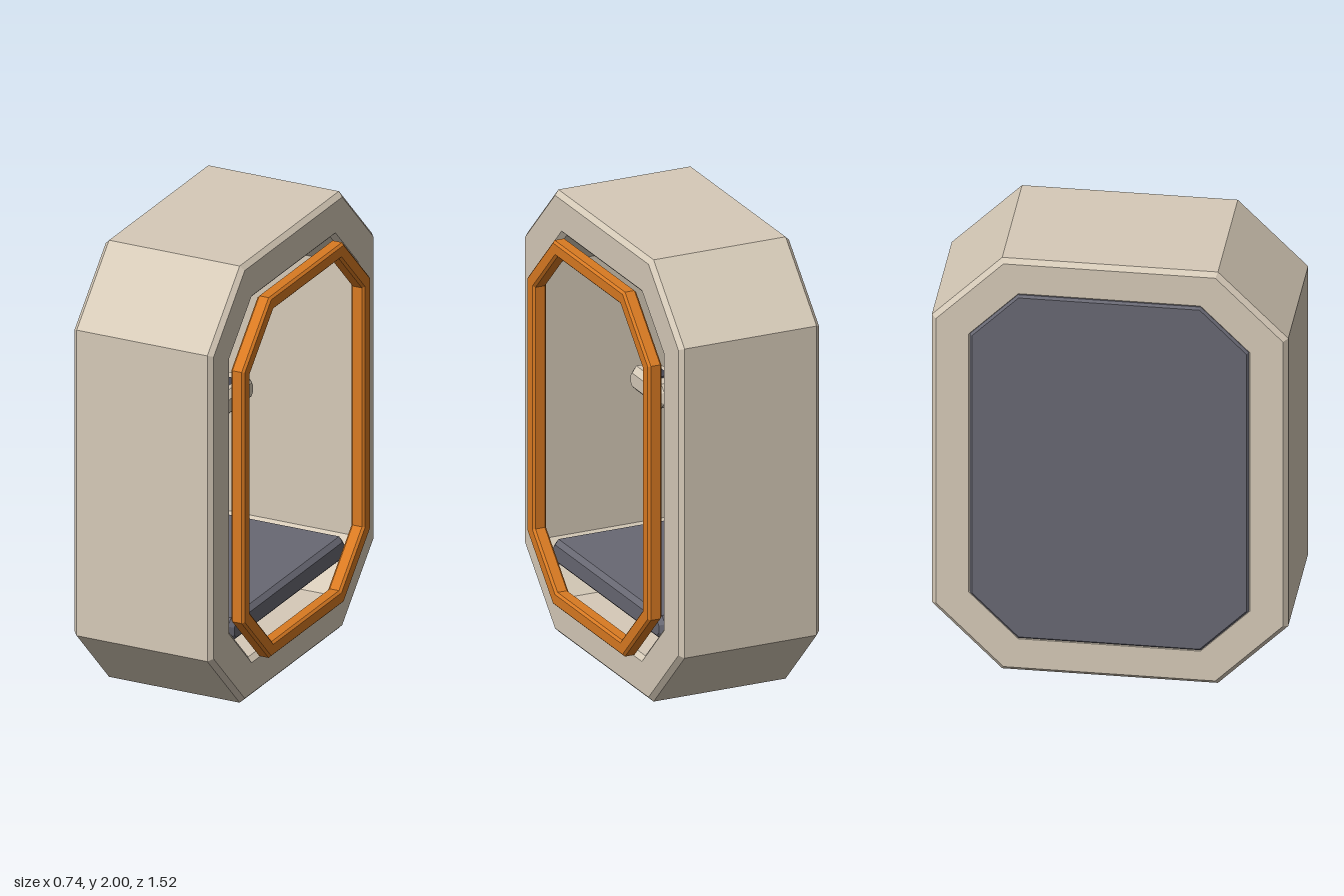
import * as THREE from 'three';

const mat = (name, color) => {
  const m = new THREE.MeshStandardMaterial({ color });
  m.name = name;
  return m;
};

// Upright octagon outline: half width w, half height h, corner cut c, centred at y = 1
function octagon(w, h, c, Type = THREE.Shape) {
  return new Type([
    [w, c - h], [w, h - c], [w - c, h], [c - w, h],
    [-w, h - c], [-w, c - h], [c - w, -h], [w - c, -h],
  ].map(([u, v]) => new THREE.Vector2(u, v + 1)));
}

// Extrude a side profile along x from x0 to x1 with a one-step bevel
function extrudeX(shape, x0, x1, b) {
  const g = new THREE.ExtrudeGeometry(shape, {
    depth: x1 - x0 - 2 * b, bevelEnabled: true, bevelSegments: 1,
    bevelThickness: b, bevelSize: b, bevelOffset: -b,
  });
  return g.translate(0, 0, x0 + b).rotateY(Math.PI / 2);
}

// Rectangular profile with cut corners, centred on (z, y)
function cutBox(halfZ, halfY, c, z, y) {
  return new THREE.Shape([
    [halfZ, c - halfY], [halfZ, halfY - c], [halfZ - c, halfY], [c - halfZ, halfY],
    [-halfZ, halfY - c], [-halfZ, c - halfY], [c - halfZ, -halfY], [halfZ - c, -halfY],
  ].map(([u, v]) => new THREE.Vector2(u - z, v + y)));
}

export function createModel() {
  const group = new THREE.Group();
  const beige = mat('beige', 0xd6cab8);
  const slate = mat('slate', 0x686873);
  const dark = mat('darkGrey', 0x4a4a55);
  const orange = mat('orange', 0xd97a22);
  const add = (name, geometry, material) => {
    const m = new THREE.Mesh(geometry, material);
    m.name = name;
    group.add(m);
    return m;
  };

  // Hollow octagonal shell
  const shell = octagon(0.76, 1, 0.3);
  shell.holes.push(octagon(0.58, 0.82, 0.2, THREE.Path));
  add('shell', extrudeX(shell, -0.36, 0.3, 0.02), beige);

  // Closing panel on the far side
  add('backPanel', extrudeX(octagon(0.595, 0.835, 0.205), -0.37, -0.33, 0.01), slate);

  // Orange door frame
  const frame = octagon(0.59, 0.825, 0.25);
  frame.holes.push(octagon(0.525, 0.76, 0.213, THREE.Path));
  add('doorFrame', extrudeX(frame, 0.302, 0.366, 0.01), orange);

  // Raised floor slab
  add('floor', extrudeX(cutBox(0.53, 0.055, 0.03, 0, 0.345), -0.34, 0.28, 0.02), slate);

  // Ceiling bar
  add('ceilingBar', new THREE.BoxGeometry(0.035, 0.04, 0.5).translate(0.05, 1.795, 0), orange);

  // Jointed arm mounted on the panel
  const joints = [[-0.28, 0.84, 0], [-0.14, 1.07, -0.13], [0, 1.205, 0.06]]
    .map((p) => new THREE.Vector3(...p));
  joints.forEach((p, i) => {
    const g = new THREE.CylinderGeometry(0.064, 0.064, 0.113, 20).rotateX(Math.PI / 2);
    add('armJoint' + (i + 1), g, dark).position.copy(p);
  });
  for (let i = 0; i < 2; i++) {
    const dir = joints[i + 1].clone().sub(joints[i]);
    const link = add('armLink' + (i + 1), new THREE.CylinderGeometry(0.04, 0.04, dir.length(), 16), beige);
    link.position.copy(joints[i]).addScaledVector(dir, 0.5);
    link.quaternion.setFromUnitVectors(new THREE.Vector3(0, 1, 0), dir.normalize());
  }

  // Flat bevelled head at the end of the arm
  add('armHead', extrudeX(cutBox(0.15, 0.055, 0.03, 0.06, 1.205), -0.075, 0.075, 0.025), beige);

  return group;
}
